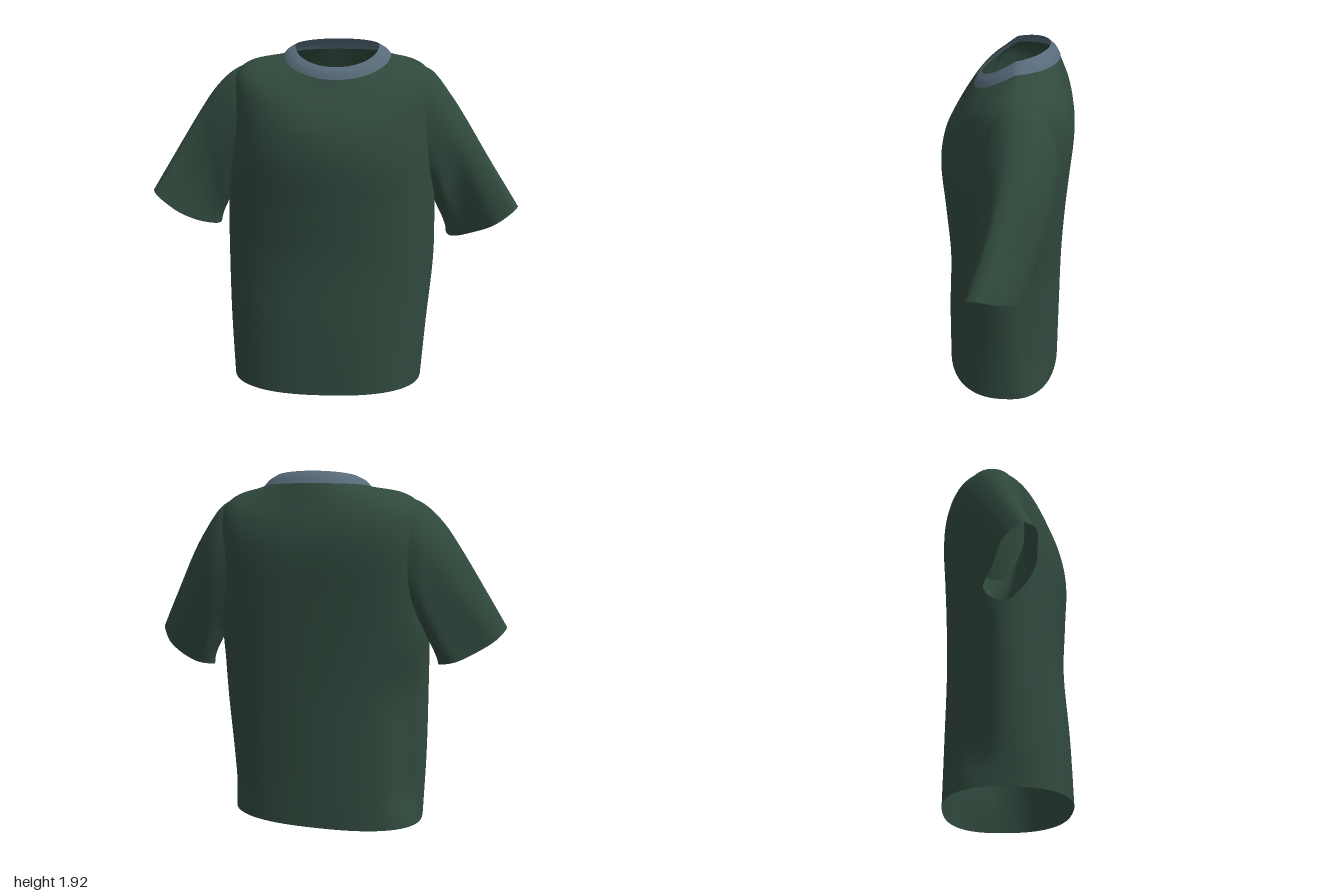
import * as THREE from 'three';

// Smoothly resample a table of section rows (each column follows a spline)
function resample(rows, count) {
  const pick = (i) => rows[Math.min(rows.length - 1, Math.max(0, i))];
  const out = [];
  for (let k = 0; k <= count; k++) {
    const f = (k / count) * (rows.length - 1);
    const i = Math.min(rows.length - 2, Math.floor(f));
    const t = f - i;
    out.push(rows[0].map((_, c) => {
      const [a, b, d, e] = [pick(i - 1)[c], pick(i)[c], pick(i + 1)[c], pick(i + 2)[c]];
      return b + 0.5 * t * (d - a + t * (2 * a - 5 * b + 4 * d - e + t * (3 * (b - d) + e - a)));
    }));
  }
  return out;
}

// Skin closed rings of points into one smooth open surface
function loft(rings) {
  const n = rings[0].length;
  const index = [];
  for (let i = 0; i < rings.length - 1; i++) {
    for (let j = 0; j < n; j++) {
      const a = i * n + j, b = i * n + (j + 1) % n;
      index.push(a, a + n, b, b, a + n, b + n);
    }
  }
  const g = new THREE.BufferGeometry();
  g.setAttribute('position', new THREE.Float32BufferAttribute(rings.flat(2), 3));
  g.setIndex(index);
  g.computeVertexNormals();
  return g;
}

const spow = (v, e) => Math.sign(v) * Math.pow(Math.abs(v), e);

// Horizontal ring: row = [xRight, xLeft, zFront, zBack, zSide, yFront, ySide, yBack,
//                         frontPower, backPower, heightPower]
function bodyRing([x0, x1, zf, zb, zs, yf, ys, yb, ef, eb, ep], n = 96) {
  const pts = [];
  for (let j = 0; j < n; j++) {
    const a = (j / n) * Math.PI * 2;
    const c = Math.cos(a), s = Math.sin(a);
    const e = s > 0 ? ef : eb;
    const x = (x0 + x1) / 2 + ((x1 - x0) / 2) * spow(c, e);
    const z = zs + (s > 0 ? zf - zs : zs - zb) * spow(s, e);
    const y = ys + ((s > 0 ? yf : yb) - ys) * Math.pow(Math.abs(s), ep);
    pts.push([x, y, z]);
  }
  return pts;
}

// Soft vertical creases behind the side seams, deeper on the right, fading at armpits and hem
function drape([x, y, z]) {
  const fade = THREE.MathUtils.smoothstep(1.1 - y, 0, 0.4) * THREE.MathUtils.smoothstep(y, -0.02, 0.2);
  const side = THREE.MathUtils.smoothstep(Math.abs(x), 0.2, 0.42);
  const depth = x < 0 ? 0.055 : 0.03;
  const dent = depth * Math.exp(-(((z + 0.16) / 0.09) ** 2));
  return [x - Math.sign(x) * dent * fade * side, y, z];
}

// Tilted sleeve section: row = [top xyz, bottom xyz, half thickness]
function sleeveRing(row, side, amount, n = 56) {
  const top = new THREE.Vector3(...row.slice(0, 3));
  const low = new THREE.Vector3(...row.slice(3, 6));
  const mid = top.clone().add(low).multiplyScalar(0.5);
  const half = top.clone().sub(low).multiplyScalar(0.5);
  const dir = half.clone().normalize();
  const across = new THREE.Vector3(0, 0, 1).addScaledVector(dir, -dir.z).normalize();
  const pts = [];
  for (let j = 0; j < n; j++) {
    const a = (j / n) * Math.PI * 2;
    const fold = 1 + 0.08 * amount * Math.sin(5 * a + 0.6);
    const e = 0.95 - 0.15 * amount;
    const p = mid.clone().addScaledVector(half, spow(Math.cos(a), e))
      .addScaledVector(across, -side * row[6] * spow(Math.sin(a), e) * fold);
    p.y -= 0.035 * amount * Math.sin(a) ** 2;
    pts.push(p.toArray());
  }
  return pts;
}

export function createModel() {
  const model = new THREE.Group();
  model.name = 'shirt';
  const fabric = new THREE.MeshStandardMaterial({ color: 0x30493d, side: THREE.DoubleSide });
  fabric.name = 'dark green fabric';
  const trim = new THREE.MeshStandardMaterial({ color: 0x586b7a, side: THREE.DoubleSide });
  trim.name = 'blue grey trim';

  const add = (name, geometry, material) => {
    const mesh = new THREE.Mesh(geometry, material);
    mesh.name = name;
    model.add(mesh);
  };

  // Torso from hem to neckline
  const torso = [
    [-0.585, 0.512, 0.345, -0.315, -0.02, 0, 0, 0, 0.82, 0.82, 2],
    [-0.6, 0.54, 0.34, -0.315, -0.02, 0.35, 0.35, 0.35, 0.93, 0.93, 2],
    [-0.602, 0.57, 0.322, -0.315, -0.02, 0.72, 0.72, 0.72, 0.97, 0.94, 2],
    [-0.6, 0.568, 0.34, -0.325, -0.04, 1.02, 1.02, 1.02, 1, 0.85, 2],
    [-0.585, 0.56, 0.357, -0.34, -0.05, 1.27, 1.27, 1.27, 1, 0.75, 2],
    [-0.575, 0.555, 0.333, -0.353, -0.06, 1.43, 1.46, 1.45, 0.98, 0.71, 2],
    [-0.565, 0.55, 0.285, -0.352, -0.06, 1.53, 1.63, 1.57, 0.95, 0.71, 2],
    [-0.535, 0.52, 0.24, -0.332, -0.06, 1.595, 1.745, 1.67, 0.93, 0.75, 1.8],
    [-0.44, 0.435, 0.203, -0.302, -0.06, 1.65, 1.81, 1.76, 0.95, 0.85, 1.4],
    [-0.27, 0.305, 0.163, -0.267, -0.05, 1.715, 1.84, 1.86, 1, 1, 1],
  ];
  add('torso', loft(resample(torso, 72).map((r) => bodyRing(r).map(drape))), fabric);

  // Flat ribbed neckband with a crisp open top edge
  const band = [
    [-0.275, 0.311, 0.168, -0.272, -0.05, 1.708, 1.838, 1.855, 1, 1, 1],
    [-0.248, 0.283, 0.153, -0.252, -0.05, 1.743, 1.868, 1.89, 1, 1, 1],
    [-0.211, 0.245, 0.126, -0.221, -0.05, 1.772, 1.887, 1.918, 1, 1, 1],
  ];
  add('collar', loft(resample(band, 10).map((r) => bodyRing(r))), trim);

  // Sleeves from shoulder to open cuff, hanging slightly differently
  const leftSleeve = [
    [0.44, 1.785, -0.08, 0.48, 1.14, -0.065, 0.19],
    [0.54, 1.745, -0.08, 0.55, 1.06, -0.07, 0.18],
    [0.645, 1.615, -0.07, 0.59, 0.98, -0.07, 0.158],
    [0.74, 1.47, -0.04, 0.62, 0.92, -0.08, 0.132],
    [0.86, 1.265, 0.03, 0.64, 0.87, -0.09, 0.11],
    [1.0, 1.025, 0.125, 0.65, 0.845, -0.1, 0.095],
  ];
  const rightSleeve = [
    [-0.44, 1.795, -0.08, -0.48, 1.17, -0.065, 0.19],
    [-0.55, 1.755, -0.08, -0.56, 1.1, -0.07, 0.18],
    [-0.655, 1.66, -0.07, -0.6, 1.03, -0.06, 0.158],
    [-0.75, 1.525, -0.045, -0.63, 0.97, -0.06, 0.132],
    [-0.87, 1.325, 0.015, -0.645, 0.93, -0.06, 0.108],
    [-1.0, 1.095, 0.09, -0.655, 0.9, -0.06, 0.095],
  ];
  for (const [name, rows, side] of [['leftSleeve', leftSleeve, 1], ['rightSleeve', rightSleeve, -1]]) {
    const rings = resample(rows, 40).map((r, k) => sleeveRing(r, side, k / 40));
    add(name, loft(rings), fabric);
  }
  return model;
}
